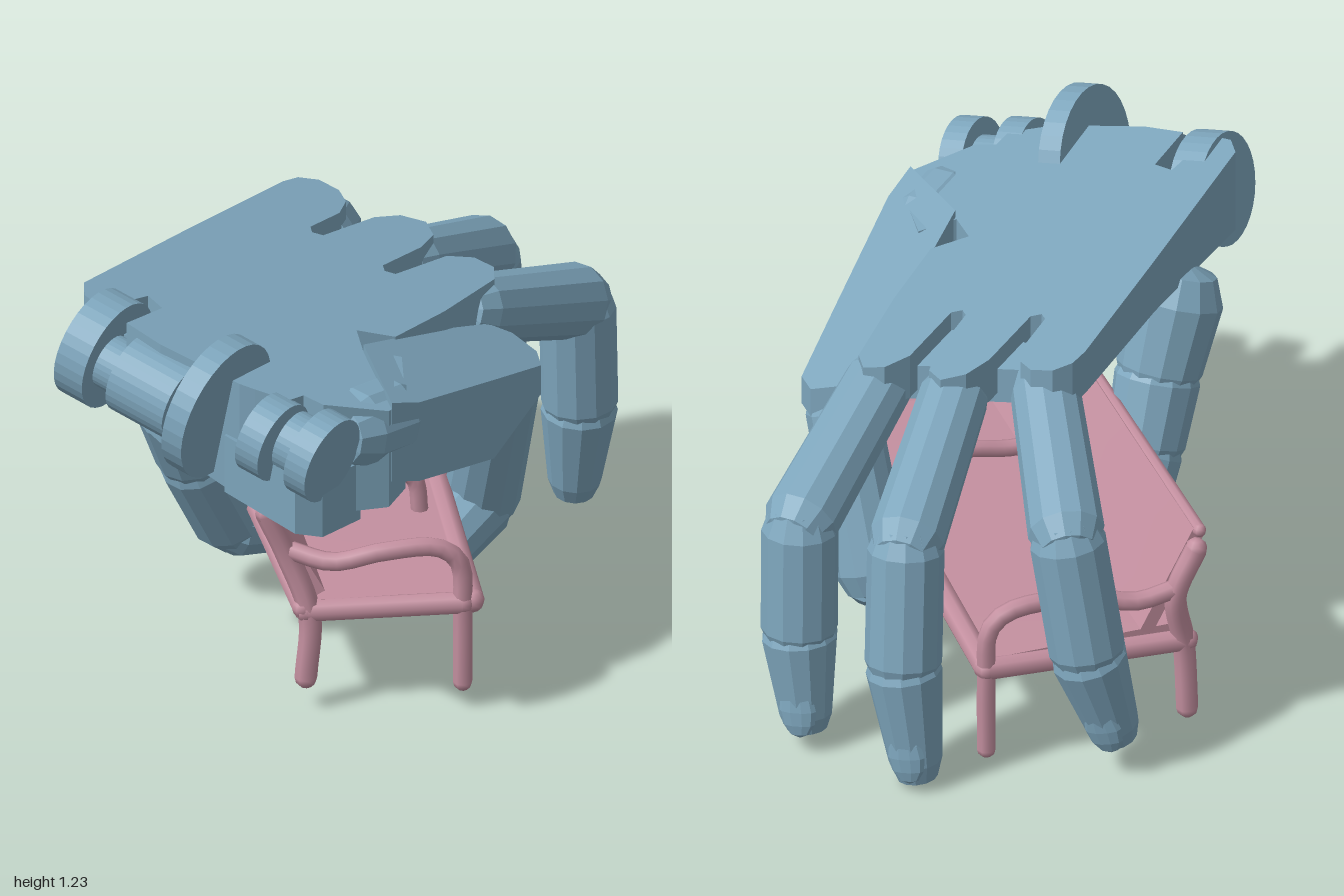
import * as THREE from 'three';

const blue = new THREE.MeshStandardMaterial({ color: 0x7ea6bd, flatShading: true, side: THREE.DoubleSide });
const pink = new THREE.MeshStandardMaterial({ color: 0xc490a0, side: THREE.DoubleSide });
const V = (p) => new THREE.Vector3(...p);
const UP = new THREE.Vector3(0, 1, 0);
const clamp01 = (t) => THREE.MathUtils.clamp(t, 0, 1);

function add(parent, geo, mat, name) {
  const mesh = new THREE.Mesh(geo, mat);
  mesh.name = name;
  parent.add(mesh);
  return mesh;
}

// Slab from a plan outline [x, z]; its top follows a sloped plane, its depth varies
function slab(parent, outline, top, depth, name) {
  const shape = new THREE.Shape(outline.map(([x, z]) => new THREE.Vector2(x, z)));
  const geo = new THREE.ExtrudeGeometry(shape, { depth: 1, bevelEnabled: false });
  const p = geo.attributes.position;
  for (let i = 0; i < p.count; i++) {
    const x = p.getX(i), z = p.getY(i), t = p.getZ(i);
    p.setXYZ(i, x, top(x, z) - t * depth(x, z), z);
  }
  geo.computeVertexNormals();
  add(parent, geo, blue, name);
}

// Faceted limb with rounded ends between two points
function limb(parent, a, b, r0, r1, name, tip = false) {
  const A = V(a), B = V(b), len = A.distanceTo(B);
  const end = tip ? [[r1, len * 0.8], [r1 * 0.75, len * 0.95], [0.001, len]]
    : [[r1, len - 0.01], [r1 * 0.75, len + r1 * 0.5], [0.001, len + r1 * 0.75]];
  const pts = [[0.001, -r0 * 0.7], [r0 * 0.75, -r0 * 0.45], [r0, 0.02], ...end];
  const geo = new THREE.LatheGeometry(pts.map(([x, y]) => new THREE.Vector2(x, y)), 12);
  const m = add(parent, geo, blue, name);
  m.position.copy(A);
  m.quaternion.setFromUnitVectors(UP, B.sub(A).normalize());
}

// Chain of limbs through joints, with a nail on the last one
function digit(parent, name, joints, radii, out) {
  const g = new THREE.Group();
  g.name = name;
  const n = joints.length - 1;
  for (let i = 0; i < n; i++) {
    const last = i === n - 1;
    limb(g, joints[i], joints[i + 1], radii[i], radii[i + 1], last ? 'fingertip' : 'segment', last);
  }
  const a = V(joints[n - 1]), b = V(joints[n]), dir = b.clone().sub(a).normalize();
  const o = V(out).addScaledVector(dir, -V(out).dot(dir)).normalize();
  const nail = add(g, new THREE.SphereGeometry(1, 10, 6), blue, 'nail');
  nail.scale.set(0.055, 0.085, 0.02);
  nail.quaternion.setFromRotationMatrix(new THREE.Matrix4().makeBasis(dir.clone().cross(o), dir, o));
  nail.position.copy(a).lerp(b, 0.7).addScaledVector(o, radii[n] * 0.85);
  parent.add(g);
}

function disc(parent, c, r, w, name) {
  const m = add(parent, new THREE.CylinderGeometry(r, r, w, 32), blue, name);
  m.position.set(...c);
  m.quaternion.setFromUnitVectors(UP, V([0.69, -0.2, 0.69]).normalize());
}

function tube(parent, pts, r, name) {
  const curve = new THREE.CatmullRomCurve3(pts.map(V), false, 'centripetal');
  add(parent, new THREE.TubeGeometry(curve, 24, r, 8), pink, name);
  for (const p of [pts[0], pts[pts.length - 1]]) {
    add(parent, new THREE.SphereGeometry(r, 8, 6), pink, name + 'End').position.set(...p);
  }
}

// Thin panel between four corners, given in order round the edge
function panel(parent, corners, t, name) {
  const [a, b, c, d] = corners.map(V);
  const geo = new THREE.BoxGeometry(1, 1, 1, 4, 1, 8);
  const n = b.clone().sub(a).cross(d.clone().sub(a)).normalize();
  const p = geo.attributes.position;
  for (let i = 0; i < p.count; i++) {
    const u = p.getX(i) + 0.5, w = p.getZ(i) + 0.5, h = p.getY(i) * t;
    const q = a.clone().lerp(b, u).lerp(d.clone().lerp(c, u), w).addScaledVector(n, h);
    p.setXYZ(i, q.x, q.y, q.z);
  }
  geo.computeVertexNormals();
  add(parent, geo, pink, name);
}

function makeHand() {
  const hand = new THREE.Group();
  hand.name = 'hand';
  // Palm with rounded knuckle tabs, wrist slots and thumb notch
  const palmTop = (x, z) => 1.075 - 0.22 * x - 0.075 * z;
  const palm = [
    [-0.78, 0.32], [-0.77, 0.25], [-0.4, -0.14], [-0.08, -0.47], [-0.03, -0.505], [0.03, -0.505], [0.08, -0.46],
    [0.09, -0.4], [0.06, -0.33], [-0.04, -0.23], [-0.04, -0.2], [-0.01, -0.19], [0.16, -0.33], [0.24, -0.36],
    [0.31, -0.34], [0.32, -0.27], [0.27, -0.19], [0.14, -0.06], [0.14, -0.03], [0.17, -0.02], [0.34, -0.16],
    [0.42, -0.17], [0.47, -0.13], [0.46, -0.06], [0.28, 0.16], [0.11, 0.34], [0, 0.33], [0, 0.44], [0.11, 0.45],
    [0.08, 0.7], [0.02, 0.77], [-0.17, 0.78], [-0.22, 0.74], [-0.27, 0.78], [-0.36, 0.74], [-0.4, 0.72],
    [-0.6, 0.55], [-0.68, 0.45], [-0.56, 0.34], [-0.59, 0.28], [-0.74, 0.38],
  ];
  const depth = (x, z) => 0.14 + clamp01(z - x) * (0.12 + 0.1 * clamp01((x + z + 0.4) * 1.5));
  slab(hand, palm, palmTop, depth, 'palm');
  slab(hand, [[-0.06, -0.4], [0.01, -0.41], [0.38, -0.07], [0.38, 0], [0.2, 0.2]],
    (x, z) => palmTop(x, z) - 0.06, () => 0.11, 'knuckleBase');
  slab(hand, [[-0.62, 0.2], [-0.45, 0.3], [-0.6, 0.46], [-0.72, 0.32]],
    (x, z) => palmTop(x, z) - 0.08, () => 0.2, 'wristSlotFloor');
  slab(hand, [[-0.44, 0.7], [-0.27, 0.89], [-0.19, 0.89], [-0.06, 0.76], [-0.3, 0.5]],
    (x, z) => palmTop(x, z) - 0.18, () => 0.18, 'wristBlock');

  // Thumb mount beside the palm, cut away under its far end
  const mount = [[0, 0.45], [0.03, 0.76], [0.12, 0.69], [0.39, 0.36], [0.56, 0.15], [0.56, 0.07], [0.5, 0.01],
    [0.43, 0.01], [0.27, 0.16]];
  slab(hand, mount, (x, z) => 1.09 - 0.5 * x - 0.055 * z, (x) => (x > 0.41 ? 0.09 : 0.25), 'thumbMount');
  slab(hand, [[0, 0.32], [0.14, 0.29], [0.16, 0.48], [0, 0.5]],
    (x, z) => palmTop(x, z) - 0.08, () => 0.15, 'thumbNotchFloor');
  limb(hand, [-0.08, 0.93, 0.71], [0.05, 0.91, 0.6], 0.12, 0.12, 'thumbMountRoot');

  // Wrist hinge
  disc(hand, [-0.73, 1.06, 0.34], 0.165, 0.1, 'wristFlange');
  disc(hand, [-0.66, 1.03, 0.46], 0.08, 0.26, 'wristPin');
  disc(hand, [-0.6, 1.02, 0.53], 0.12, 0.2, 'wristHub');
  disc(hand, [-0.46, 1.02, 0.67], 0.21, 0.07, 'wristDisc');
  disc(hand, [-0.32, 0.97, 0.79], 0.12, 0.08, 'wristHub');
  disc(hand, [-0.25, 0.95, 0.8], 0.09, 0.2, 'wristPin');
  disc(hand, [-0.19, 0.94, 0.87], 0.13, 0.075, 'wristDisc');

  // Three fingers
  const fingers = [
    [[0.015, 0.98, -0.39], [0.1, 0.77, -0.84], [0.055, 0.4, -0.89], [-0.04, 0.08, -0.89]],
    [[0.24, 0.94, -0.27], [0.53, 0.74, -0.69], [0.56, 0.38, -0.755], [0.53, 0.005, -0.8]],
    [[0.39, 0.89, -0.06], [0.76, 0.7, -0.43], [0.77, 0.36, -0.455], [0.76, 0.04, -0.5]],
  ];
  for (const f of fingers) digit(hand, 'finger', f, [0.1, 0.11, 0.11, 0.077], [0.6, 0, -0.8]);

  // Two opposing thumbs gripping from below
  digit(hand, 'leftThumb', [[0.46, 0.73, 0.1], [0.43, 0.27, -0.1], [0.29, 0.19, 0.02], [-0.06, 0.22, 0.28]],
    [0.105, 0.11, 0.1, 0.085], [0, -1, 0]);
  digit(hand, 'rightThumb', [[-0.53, 0.92, 0.06], [-0.46, 0.7, 0.01], [-0.4, 0.5, -0.05], [-0.28, 0.24, -0.15],
    [0.1, 0.17, -0.22]], [0.14, 0.125, 0.115, 0.115, 0.08], [0, -1, 0]);
  return hand;
}

function makeBench() {
  const bench = new THREE.Group();
  bench.name = 'bench';
  panel(bench, [[-0.19, 0.32, 0.6], [0.27, 0.32, 0.64], [0.32, 0.33, -0.77], [-0.25, 0.34, -0.77]], 0.05, 'seat');
  panel(bench, [[-0.31, 0.64, 0.55], [-0.15, 0.35, 0.58], [-0.16, 0.35, -0.77], [-0.32, 0.66, -0.77]], 0.04, 'backrest');
  tube(bench, [[0.28, 0.33, 0.65], [0.32, 0.33, -0.77]], 0.035, 'frontRail');
  tube(bench, [[-0.2, 0.32, 0.6], [-0.26, 0.33, -0.77]], 0.03, 'rearRail');
  tube(bench, [[-0.31, 0.63, 0.54], [-0.32, 0.66, -0.77]], 0.02, 'backrestTopRail');

  // Both ends: legs, rail, back post and armrest
  const ends = [[-0.19, 0.25, 0.6, 0.66, 0.08], [-0.28, 0.32, -0.78, -0.78, 0.065]];
  for (const [xr, xl, zr, zl, foot] of ends) {
    tube(bench, [[xr, foot + 0.02, zr], [xr + 0.01, 0.3, zr], [-0.24, 0.48, zr - 0.02], [-0.3, 0.62, zr - 0.02]], 0.033, 'rearLeg');
    tube(bench, [[xl, foot, zl], [xl, 0.3, zl], [xl - 0.01, 0.46, zl], [xl - 0.07, 0.51, zl],
      [0.02, 0.51, zl], [-0.12, 0.48, zl - 0.02], [-0.24, 0.5, zr - 0.02]], 0.028, 'frontLegAndArmrest');
    tube(bench, [[xr, 0.31, zr], [xl, 0.33, zl]], 0.033, 'endRail');
  }
  // Middle armrest
  tube(bench, [[0.22, 0.34, 0.1], [0.2, 0.45, 0.1], [0.1, 0.49, 0.1], [-0.05, 0.47, 0.1], [-0.23, 0.48, 0.1]], 0.025, 'middleArmrest');
  return bench;
}

export function createModel() {
  const model = new THREE.Group();
  model.name = 'handHoldingBench';
  model.add(makeHand(), makeBench());
  return model;
}
